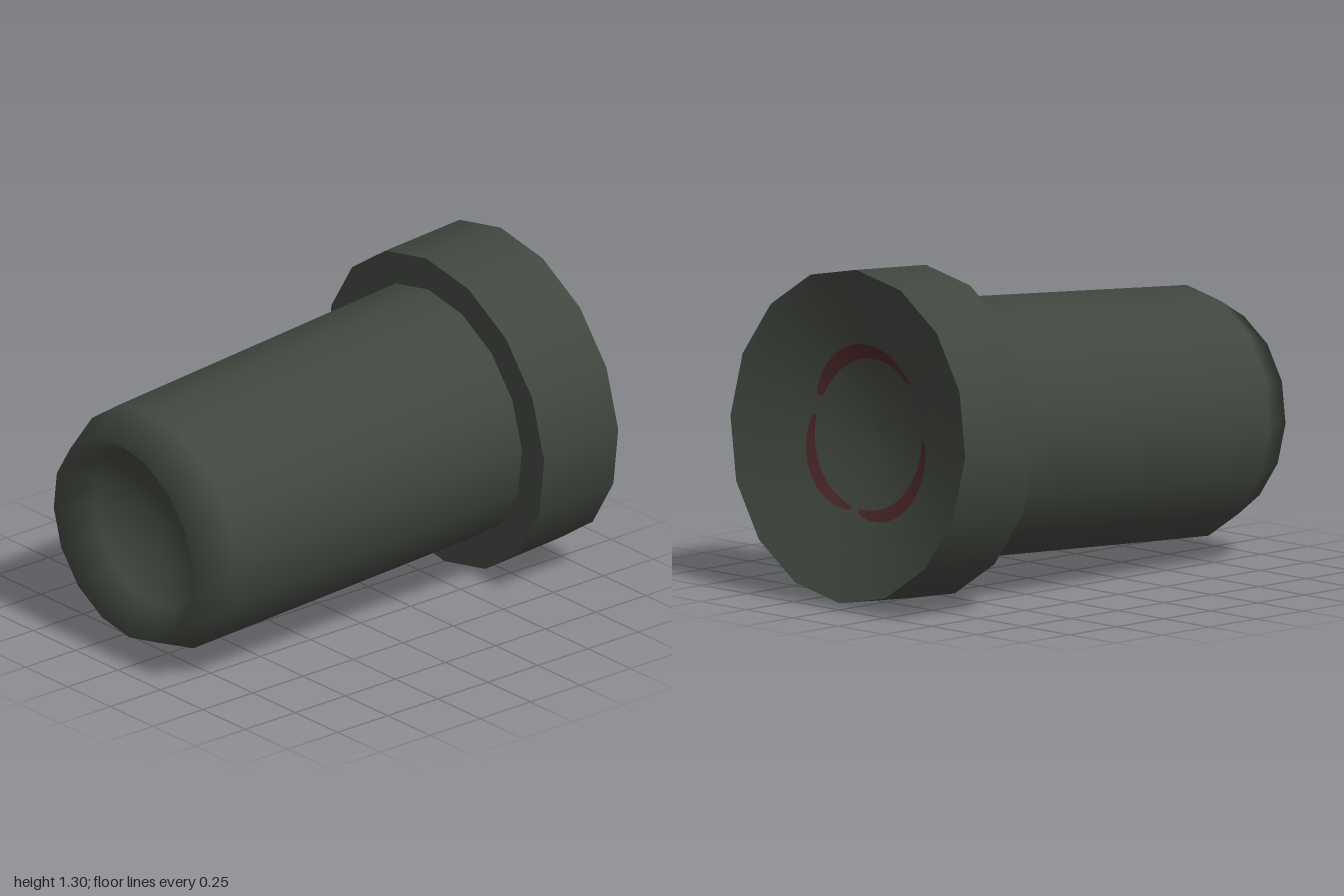
import * as THREE from 'three';

const SIDES = 16;

// Hollow of the back end as [radius, depth], from the middle to the rim
const backDish = [[0, 0.165], [0.12, 0.16], [0.26, 0.128], [0.45, 0.07], [0.641, 0]];

function dishDepth(r) {
  for (let i = 1; i < backDish.length; i++) {
    const [r0, d0] = backDish[i - 1], [r1, d1] = backDish[i];
    if (r <= r1) return d0 + (d1 - d0) * (r - r0) / (r1 - r0);
  }
  return 0;
}

function turned(name, profile, material) {
  const points = profile.map(([r, y]) => new THREE.Vector2(r, y));
  const mesh = new THREE.Mesh(new THREE.LatheGeometry(points, SIDES), material);
  mesh.name = name;
  return mesh;
}

// Thin crescent lying on the back hollow; angles in degrees from the top towards +x
function arcMark(name, from, to, width, lean, material) {
  const steps = 24, position = [], index = [];
  for (let i = 0; i <= steps; i++) {
    const s = i / steps;
    const t = THREE.MathUtils.degToRad(from + (to - from) * s);
    const swell = Math.pow(Math.sin(Math.PI * (0.04 + 0.92 * s)), 0.6) * (1 + lean * (s - 0.5));
    const mid = 0.3 + 0.02 * Math.sin(Math.PI * s);
    for (const side of [-0.5, 0.5]) {
      const r = mid + side * width * swell;
      position.push(r * Math.sin(t), dishDepth(r) - 0.006, -r * Math.cos(t));
    }
    if (i < steps) {
      const a = i * 2;
      index.push(a, a + 1, a + 2, a + 1, a + 3, a + 2);
    }
  }
  const geometry = new THREE.BufferGeometry();
  geometry.setAttribute('position', new THREE.Float32BufferAttribute(position, 3));
  geometry.setIndex(index);
  geometry.computeVertexNormals();
  const mesh = new THREE.Mesh(geometry, material);
  mesh.name = name;
  return mesh;
}

export function createModel() {
  const body = new THREE.MeshStandardMaterial({ color: 0x41463f });
  body.name = 'dark grey green';
  const red = new THREE.MeshStandardMaterial({ color: 0x4c2829, side: THREE.DoubleSide });
  red.name = 'dark red';

  // Everything is turned around local y, running from the back end to the nose
  const plug = new THREE.Group();
  plug.name = 'plug';
  plug.add(
    // Wide collar at the back, with sharp edges between its faces
    turned('collarHollow', backDish, body),
    turned('collarSide', [[0.641, 0], [0.641, 0.371]], body),
    turned('collarFront', [[0.641, 0.371], [0.5, 0.371]], body),
    // Tapering barrel, bevelled nose and hollow tip
    turned('barrel', [
      [0.51, 0.365], [0.489, 1.772], [0.411, 1.932],
      [0.32, 1.80], [0.18, 1.725], [0.07, 1.70], [0, 1.698],
    ], body),
    // Red crescents in the back hollow
    arcMark('upperMark', -43, 67, 0.058, 0.6, red),
    arcMark('sideMark', 82, 166, 0.046, 0, red),
    arcMark('lowerMark', 174, 271, 0.064, 0.2, red),
  );

  // Lay it along z with the nose tipped slightly down
  plug.rotation.x = THREE.MathUtils.degToRad(94);
  plug.position.set(0, 0.67, -0.955);

  const model = new THREE.Group();
  model.name = 'model';
  model.add(plug);
  return model;
}
